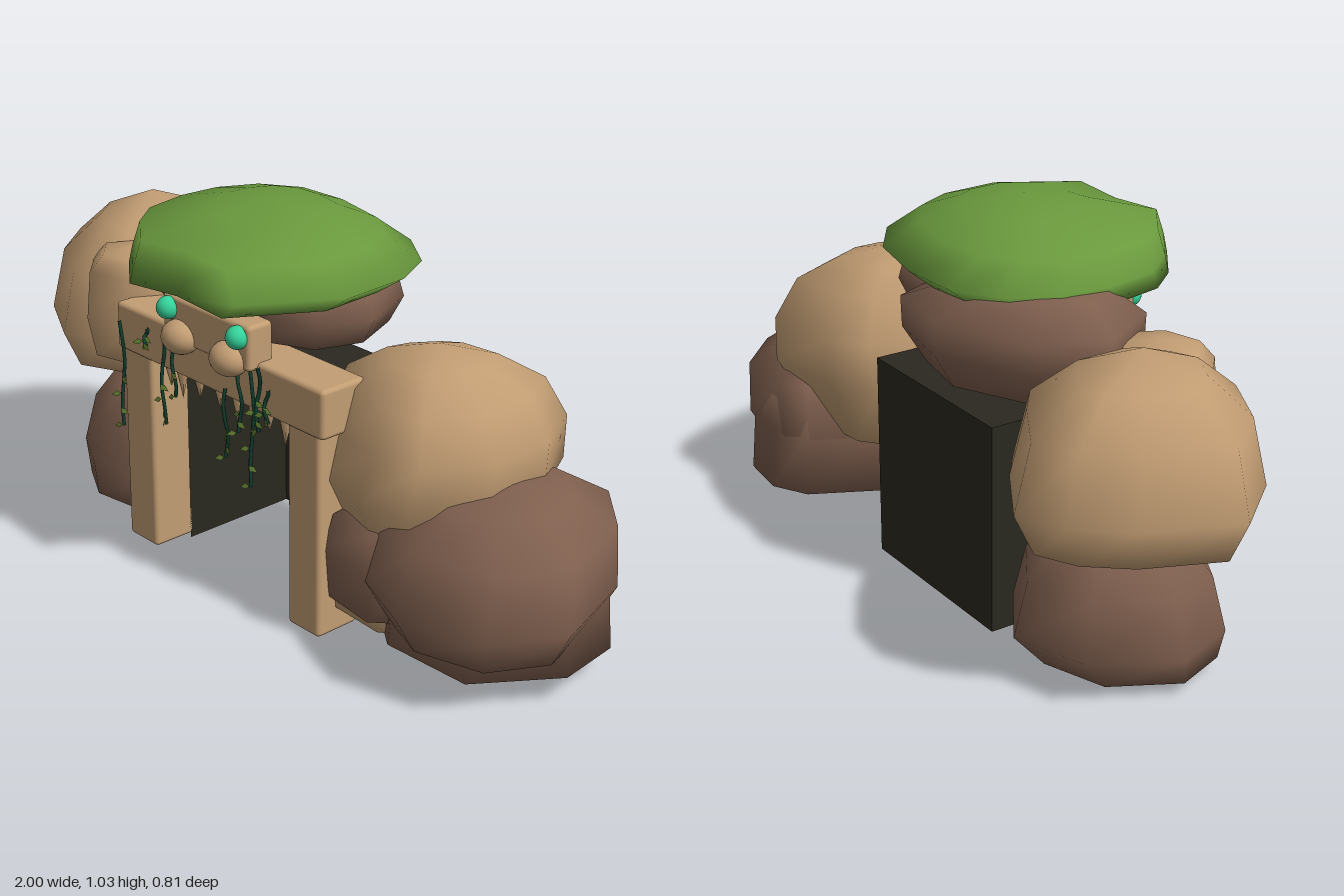
import * as THREE from 'three';
import { RoundedBoxGeometry } from 'three/addons/geometries/RoundedBoxGeometry.js';

const material = (name, color, side = THREE.FrontSide) => {
  const m = new THREE.MeshStandardMaterial({ color, side });
  m.name = name;
  return m;
};

// Rock from a plan outline [x, z] and rings [y, scale, shiftX, shiftZ], bottom to top, closed at apexY
function rockGeometry(outline, rings, apexY) {
  const n = outline.length;
  const xs = outline.map(p => p[0]), zs = outline.map(p => p[1]);
  const cx = (Math.min(...xs) + Math.max(...xs)) / 2;
  const cz = (Math.min(...zs) + Math.max(...zs)) / 2;
  const area = outline.reduce((a, p, i) => {
    const q = outline[(i + 1) % n];
    return a + p[0] * q[1] - q[0] * p[1];
  }, 0);
  const pts = area < 0 ? [...outline].reverse() : outline;
  const pos = [], idx = [];
  rings.forEach(([y, s, dx = 0, dz = 0]) => pts.forEach(([x, z]) => {
    pos.push(cx + (x - cx) * s + dx, y, cz + (z - cz) * s + dz);
  }));
  const bottom = pos.length / 3, top = bottom + 1, last = (rings.length - 1) * n;
  const [, , topX = 0, topZ = 0] = rings.at(-1);
  pos.push(cx, rings[0][0], cz, cx + topX, apexY, cz + topZ);
  for (let j = 0; j < n; j++) {
    const k = (j + 1) % n;
    for (let i = 0; i < last; i += n) {
      idx.push(i + j, i + n + j, i + k, i + k, i + n + j, i + n + k);
    }
    idx.push(bottom, j, k, top, last + k, last + j);
  }
  const g = new THREE.BufferGeometry();
  g.setAttribute('position', new THREE.Float32BufferAttribute(pos, 3));
  g.setIndex(idx);
  g.computeVertexNormals();
  return g;
}

export function createModel() {
  const group = new THREE.Group();
  const brown = material('brown rock', 0x80604f);
  const tan = material('tan rock and timber', 0xc29d73);
  const moss = material('moss green', 0x6a993d);
  const dark = material('dark interior', 0x2a281f, THREE.DoubleSide);
  const teal = material('teal', 0x34d39c);
  const vineGreen = material('vine green', 0x12402f);
  const leafGreen = material('leaf green', 0x648432, THREE.DoubleSide);

  const add = (name, geometry, mat, x = 0, y = 0, z = 0) => {
    const mesh = new THREE.Mesh(geometry, mat);
    mesh.name = name;
    mesh.position.set(x, y, z);
    group.add(mesh);
    return mesh;
  };
  const rock = (name, mat, outline, rings, apexY) =>
    add(name, rockGeometry(outline, rings, apexY), mat);
  const beam = (name, x0, x1, y0, y1, z0, z1) =>
    add(name, new RoundedBoxGeometry(x1 - x0, y1 - y0, z1 - z0, 2, 0.012), tan,
      (x0 + x1) / 2, (y0 + y1) / 2, (z0 + z1) / 2);

  // Boulders on the model's right
  rock('rightUpperBoulder', tan,
    [[-1, 0], [-.9, -.23], [-.8, -.35], [-.68, -.41], [-.5, -.3], [-.4, -.22], [-.4, .05], [-.55, .2], [-.68, .26], [-.87, .16]],
    [[.42, .84], [.53, 1], [.7, .87], [.8, .5]], .865);
  rock('rightUpperBump', tan,
    [[-.69, .15], [-.6, -.02], [-.42, -.02], [-.37, .1], [-.43, .21], [-.58, .25]],
    [[.49, .85], [.6, 1], [.73, .92], [.775, .65]], .79);
  rock('rightLowerBoulder', brown,
    [[-.86, -.05], [-.75, -.25], [-.55, -.32], [-.37, -.2], [-.325, .05], [-.45, .17], [-.65, .2], [-.8, .12]],
    [[.035, .83, 0, .04], [.13, 1], [.27, .87], [.37, .6]], .382);
  const chip = add('rockChip', new THREE.IcosahedronGeometry(1, 1), brown, -.835, .565, .085);
  chip.scale.set(.05, .06, .06);

  // Boulders on the model's left
  rock('leftUpperBoulder', tan,
    [[.18, -.05], [.28, -.2], [.38, -.28], [.63, -.31], [.72, -.14], [.72, .05], [.62, .22], [.48, .25], [.3, .2], [.14, .08]],
    [[.25, .65], [.44, 1], [.56, .94, .02, -.012], [.67, .77, .03], [.735, .43, .03]], .77);
  rock('leftLowerBoulder', brown,
    [[.36, 0], [.5, -.28], [.57, -.33], [.77, -.33], [.92, -.19], [1, .07], [.9, .25], [.68, .315], [.5, .24], [.38, .15]],
    [[.13, .8], [.24, 1], [.39, .92, 0, -.025], [.465, .55, 0, -.025]], .5);
  rock('leftBaseBoulder', brown,
    [[.4, -.1], [.5, -.3], [.6, -.355], [.75, -.34], [.92, -.18], [.94, 0], [.8, .2], [.55, .21], [.4, .1]],
    [[.075, 1], [.25, .95], [.34, .92], [.39, .6]], .4);
  rock('leftBump', brown,
    [[.3, 0], [.6, 0], [.6, .15], [.5, .24], [.33, .22]],
    [[.12, .9], [.25, 1], [.35, .85]], .38);
  rock('leftFootStone', tan,
    [[.3, -.02], [.58, 0], [.6, .12], [.5, .2], [.3, .19]],
    [[.08, .95], [.15, 1], [.25, .8]], .28);

  // Boulders over the entrance and the mossy cap
  rock('topBoulder', brown,
    [[-.3, 0], [-.22, -.15], [0, -.2], [.2, -.17], [.27, 0], [.22, .14], [.05, .22], [-.2, .2]],
    [[.71, .87], [.78, 1], [.85, .93]], .88);
  rock('topRearBoulder', brown,
    [[-.53, -.02], [-.45, -.2], [-.2, -.32], [.02, -.28], [.1, -.1], [-.2, .1], [-.42, .16]],
    [[.64, .76], [.73, .97], [.81, .98], [.885, .6, -.06]], .9);
  rock('mossCap', moss,
    [[-.4, -.08], [-.34, -.2], [-.22, -.28], [-.05, -.29], [.14, -.25], [.27, -.16], [.33, -.04], [.34, .15], [.2, .385],
      [0, .37], [-.16, .405], [-.3, .3], [-.38, .2], [-.41, .05]],
    [[.85, .92, -.03, .025], [.895, 1], [.962, .84, -.02, .03], [1.005, .45]], 1.03);

  // Dark chamber, open at the front and bottom
  const wall = (name, w, h, x, y, z, rx, ry) =>
    add(name, new THREE.PlaneGeometry(w, h), dark, x, y, z).rotation.set(rx, ry, 0);
  wall('chamberBack', .54, .56, -.04, .28, -.222, 0, 0);
  wall('chamberRoof', .54, .35, -.04, .56, -.047, Math.PI / 2, 0);
  for (const x of [-.31, .23]) wall('chamberSide', .35, .56, x, .28, -.047, 0, Math.PI / 2);

  // Timber frame
  beam('rightPost', -.43, -.31, .01, .58, .112, .245);
  beam('leftPost', .225, .34, .01, .58, .112, .245);
  beam('lintel', -.445, .36, .56, .69, .11, .252);
  beam('browBlock', -.21, .125, .67, .79, .2, .28);

  // Eyes and nostrils
  for (const s of [-1, 1]) {
    add('eye', new THREE.SphereGeometry(.03, 20, 14), teal, -.045 + s * .135, .757, .286);
    const nostril = add('nostril', new THREE.SphereGeometry(1, 20, 14), tan, -.045 + s * .095, .688, .278);
    nostril.scale.set(.056, .045, .048);
  }

  // Teeth under the lintel
  [-.25, -.2, -.13, -.05, .02, .08, .14, .2].forEach((x, i) => {
    const h = .07 + .02 * (i % 3 === 1);
    add('tooth', new THREE.ConeGeometry(.02, h, 6), tan, x, .575 - h / 2, .228).rotation.x = Math.PI;
  });

  // Hanging vines with small leaves: x, top, bottom
  const leaf = new THREE.Shape([[0, 0], [.008, .011], [0, .028], [-.008, .011]].map(p => new THREE.Vector2(...p)));
  const leafGeometry = new THREE.ShapeGeometry(leaf);
  [[-.41, .65, .35], [-.305, .66, .61], [-.235, .66, .41], [-.19, .66, .5], [.015, .59, .4],
    [.07, .66, .49], [.115, .7, .36], [.14, .69, .52], [.17, .64, .55]].forEach(([x, y0, y1], v) => {
    const path = [];
    for (let i = 0; i <= 5; i++) {
      path.push(new THREE.Vector3(x + .006 * Math.sin(i * 1.4 + v), y0 + (y1 - y0) * i / 5, .264 + .006 * Math.cos(i * 1.3 + v)));
    }
    const curve = new THREE.CatmullRomCurve3(path);
    add('vine', new THREE.TubeGeometry(curve, 16, .005, 5), vineGreen);
    for (let t = .55, k = 0; t <= 1; t += .145, k++) {
      const p = curve.getPoint(t);
      add('leaf', leafGeometry, leafGreen, p.x, p.y, p.z + .006).rotation.set(-.2, Math.sin(k + v) * .6, k % 2 ? 2 : -2);
    }
  });

  return group;
}
